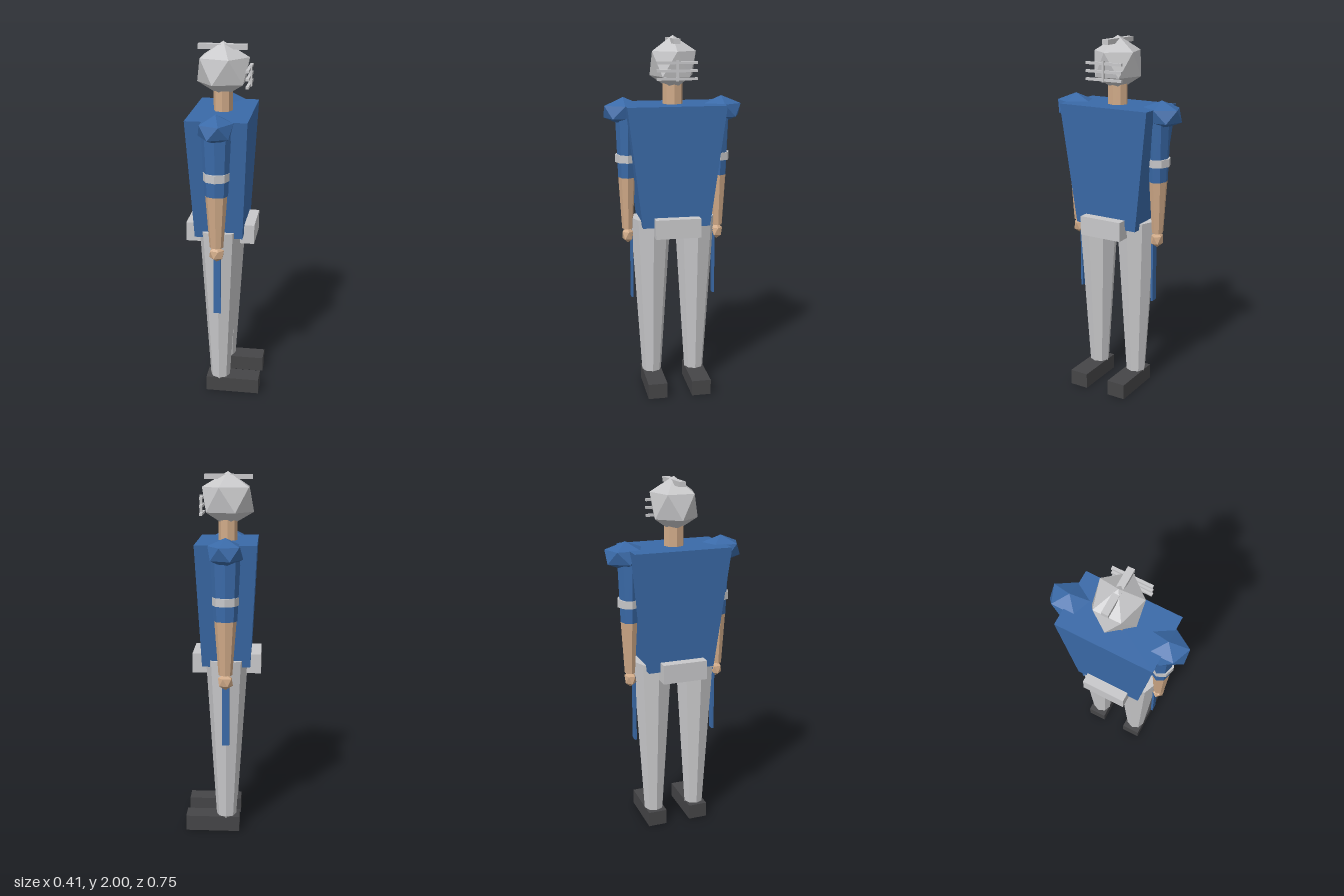
import * as THREE from 'three';

const mat = (name, color) => {
  const m = new THREE.MeshStandardMaterial({ color, flatShading: true });
  m.name = name;
  return m;
};

export function createModel() {
  const blue = mat('jersey blue', 0x3a6aa8);
  const grey = mat('light grey', 0xc8c8ca);
  const skin = mat('skin', 0xd0aa88);
  const dark = mat('boot charcoal', 0x454547);
  const CX = -0.02; // body axis; the figure looks along +x

  const model = new THREE.Group();
  model.name = 'figure';

  const add = (parent, name, geo, material, x, y, z) => {
    const mesh = new THREE.Mesh(geo, material);
    mesh.name = name;
    mesh.position.set(x, y, z);
    parent.add(mesh);
    return mesh;
  };

  // Box from its limits on each axis
  const box = (parent, name, material, [x0, x1], [y0, y1], [z0, z1]) =>
    add(parent, name, new THREE.BoxGeometry(x1 - x0, y1 - y0, z1 - z0), material,
      (x0 + x1) / 2, (y0 + y1) / 2, (z0 + z1) / 2);

  // Eight-sided tapered limb from y0 up to y1; zs squashes it sideways
  const limb = (parent, name, material, rTop, rBottom, y0, y1, z, zs = 1) =>
    add(parent, name, new THREE.CylinderGeometry(rTop, rBottom, y1 - y0, 8).scale(1, 1, zs),
      material, CX, (y0 + y1) / 2, z);

  // Icosahedron with one corner straight up, stretched per axis
  const gem = (parent, name, material, rx, ry, rz, y, z) => {
    const geo = new THREE.IcosahedronGeometry(1, 0)
      .rotateZ(-Math.atan(2 / (1 + Math.sqrt(5)))).scale(rx, ry, rz);
    geo.computeVertexNormals();
    return add(parent, name, geo, material, CX, y, z);
  };

  // Torso: box tapering to the waist
  const torso = new THREE.BoxGeometry(0.326, 0.665, 0.54);
  const p = torso.attributes.position;
  for (let i = 0; i < p.count; i++) {
    if (p.getY(i) < 0) p.setXYZ(i, p.getX(i) * 0.8, p.getY(i), p.getZ(i) * 0.695);
  }
  torso.computeVertexNormals();
  add(model, 'torso', torso, blue, CX, 1.3025, 0);
  box(model, 'pelvis', grey, [-0.208, 0.168], [0.92, 1.027], [-0.125, 0.125]);

  // Head, helmet, crest and face guard
  limb(model, 'neck', skin, 0.052, 0.052, 1.6, 1.78, 0, 1.07);
  const helmet = new THREE.Group();
  helmet.name = 'helmet';
  model.add(helmet);
  gem(helmet, 'helmetShell', grey, 0.157, 0.148, 0.14, 1.852, 0);
  box(helmet, 'helmetStripe', grey, [-0.152, 0.108], [1.958, 1.985], [-0.018, 0.018]);
  for (const y of [1.862, 1.82, 1.778]) {
    box(helmet, 'faceGuardBar', grey, [0.112, 0.128], [y - 0.007, y + 0.007], [-0.109, 0.109]);
  }
  box(helmet, 'faceGuardPost', grey, [0.119, 0.133], [1.766, 1.877], [-0.007, 0.007]);

  // Arms and legs, one set on each side
  for (const s of [1, -1]) {
    const arm = new THREE.Group();
    arm.name = 'arm';
    const leg = new THREE.Group();
    leg.name = 'leg';
    model.add(arm, leg);

    const az = 0.257 * s;
    gem(arm, 'shoulderPad', blue, 0.103, 0.077, 0.123, 1.598, 0.272 * s);
    limb(arm, 'sleeve', blue, 0.08, 0.063, 1.238, 1.6, az, 0.75);
    limb(arm, 'armBand', grey, 0.07, 0.07, 1.322, 1.365, az, 0.9);
    limb(arm, 'forearm', skin, 0.059, 0.037, 0.945, 1.24, az, 0.8);
    gem(arm, 'hand', skin, 0.045, 0.046, 0.036, 0.906, 0.255 * s);

    limb(leg, 'trouserLeg', grey, 0.114, 0.055, 0.08, 1.005, 0.125 * s);
    const zs = [0.229 * s, 0.241 * s].sort((a, b) => a - b);
    box(leg, 'sideStripe', blue, [-0.04, 0], [0.54, 0.92], zs);
    const bz = [0.071 * s, 0.179 * s].sort((a, b) => a - b);
    box(leg, 'boot', dark, [-0.095, 0.207], [0, 0.087], bz);
  }
  return model;
}
